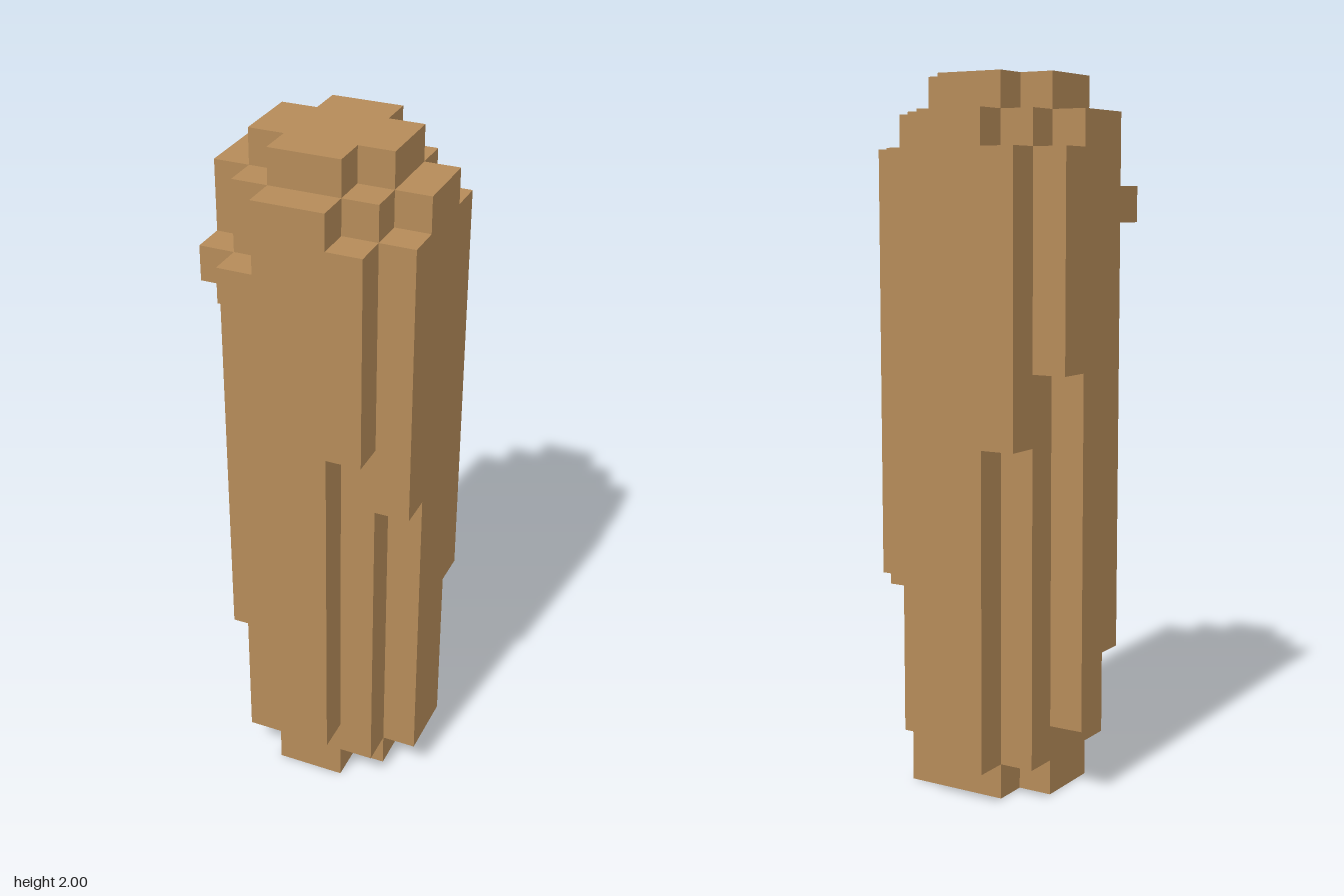
import * as THREE from 'three';

const U = 0.1; // one block

export function createModel() {
  const group = new THREE.Group();
  const wood = new THREE.MeshStandardMaterial({ color: 0xb58b59 });
  wood.name = 'woodBrown';

  // Box from block-unit bounds
  const block = (name, [x0, x1], [y0, y1], [z0, z1]) => {
    const geo = new THREE.BoxGeometry((x1 - x0) * U, (y1 - y0) * U, (z1 - z0) * U);
    const mesh = new THREE.Mesh(geo, wood);
    mesh.position.set((x0 + x1) * U / 2, (y0 + y1) * U / 2, (z0 + z1) * U / 2);
    mesh.name = name;
    group.add(mesh);
  };

  // Core, cross-shaped top cap and foot
  block('core', [-2, 2], [1, 19], [-2, 2]);
  for (const [name, y] of [['topCap', [19, 20]], ['foot', [0, 1]]]) {
    block(name + 'Bar', [-2, 2], y, [-1, 1]);
    block(name + 'BackArm', [-1, 1], y, [-2, -1]);
    block(name + 'FrontArm', [-1, 1], y, [1, 2]);
  }
  block('footCorner', [1, 2], [0, 1], [-2, -1]);

  // Bark strips: [name, span along the side, height range].
  // The trunk is symmetric across its diagonal: front pairs with the -x side, back with the +x side.
  const frontStrips = [
    ['Chip', [-2, -1], [16, 17]],
    ['ShortStrip', [-1, 0], [4, 19]],
    ['LongStrip', [0, 1], [2, 19]],
    ['CornerStrip', [1, 2], [12, 18]],
  ];
  const backStrips = [
    ['UpperCornerStrip', [-2, -1], [10, 18]],
    ['WideStrip', [-1, 1], [1, 19]],
    ['LowerCornerStrip', [1, 2], [6, 18]],
  ];
  for (const [name, [a, b], y] of frontStrips) {
    block('front' + name, [a, b], y, [2, 3]);
    block('right' + name, [-3, -2], y, [-b, -a]);
  }
  for (const [name, [a, b], y] of backStrips) {
    block('back' + name, [a, b], y, [-3, -2]);
    block('left' + name, [2, 3], y, [-b, -a]);
  }
  return group;
}
